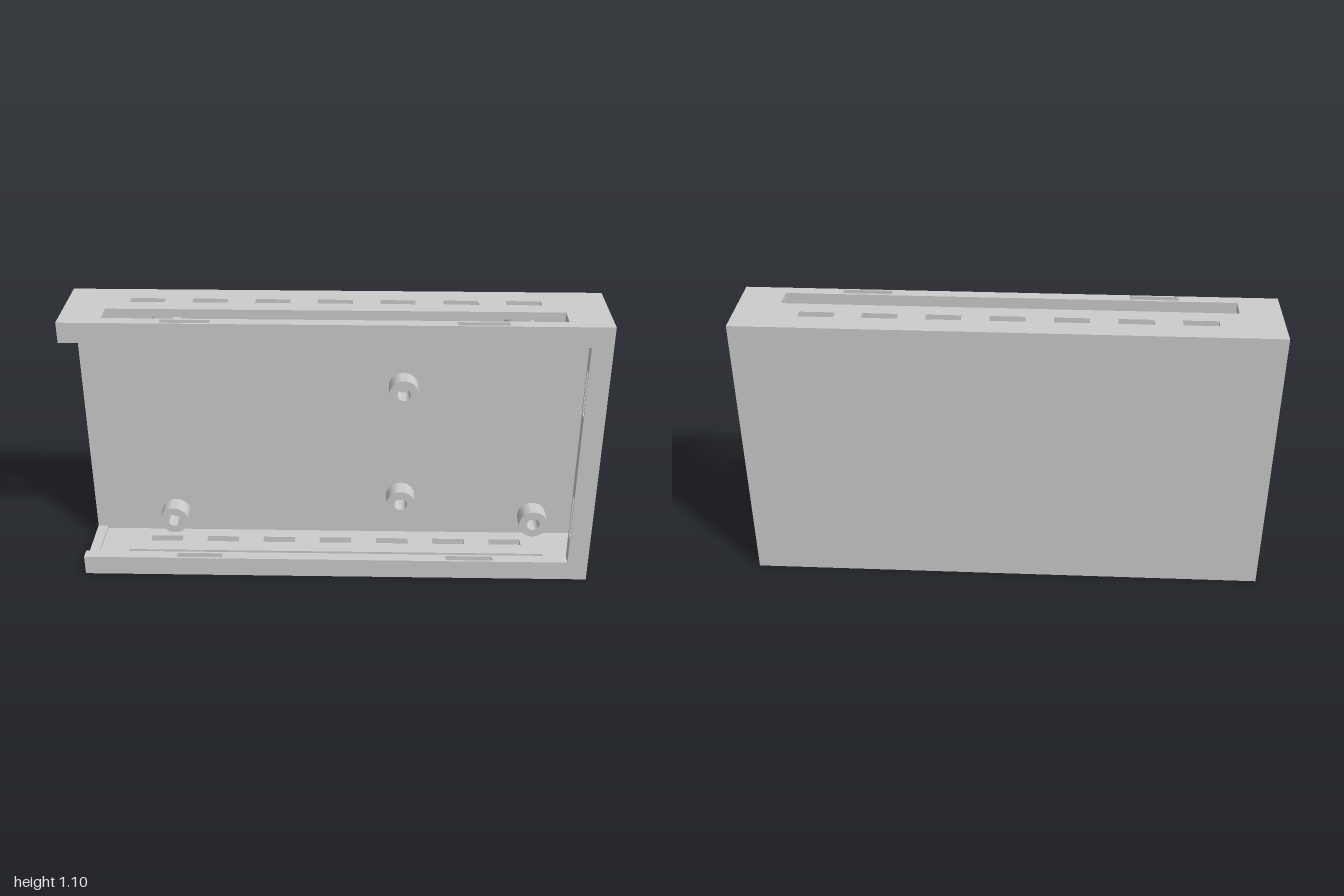
import * as THREE from 'three';
import { toCreasedNormals } from 'three/addons/utils/BufferGeometryUtils.js';

const H = 1.095, D = 0.16;          // height, half depth
const WALL = 0.03, RIM = 0.08;      // wall thickness, front rim width
const RIM_Z = 0.115, BACK_Z = -0.125;

const material = new THREE.MeshStandardMaterial({ color: 0xcccccc });
const X = new THREE.Vector3(1, 0, 0), Y = new THREE.Vector3(0, 1, 0), Z = new THREE.Vector3(0, 0, 1);

// Rectangles are [u0, u1, v0, v1]
function trace(path, [u0, u1, v0, v1]) {
  path.moveTo(u0, v0);
  path.lineTo(u1, v0);
  path.lineTo(u1, v1);
  path.lineTo(u0, v1);
  path.closePath();
  return path;
}

// Slab with rectangular holes, laid along the given axes
function slab(rect, holes, depth, uAxis, vAxis, depthAxis) {
  const shape = trace(new THREE.Shape(), rect);
  for (const h of holes) shape.holes.push(trace(new THREE.Path(), h));
  const geo = new THREE.ExtrudeGeometry(shape, { depth, bevelEnabled: false });
  return geo.applyMatrix4(new THREE.Matrix4().makeBasis(uAxis, vAxis, depthAxis));
}

export function createModel() {
  const model = new THREE.Group();
  model.name = 'openTray';

  const add = (name, geo, x = 0, y = 0, z = 0, parent = model) => {
    const mesh = new THREE.Mesh(geo, material);
    mesh.name = name;
    mesh.position.set(x, y, z);
    parent.add(mesh);
    return mesh;
  };
  const box = (name, x0, x1, y0, y1, z0, z1, parent) =>
    add(name, new THREE.BoxGeometry(x1 - x0, y1 - y0, z1 - z0),
      (x0 + x1) / 2, (y0 + y1) / 2, (z0 + z1) / 2, parent);

  // Closed back
  box('backPanel', -1, 1, 0, H, -D, BACK_Z);

  // Slots in the floor and ceiling: vents, one long opening, two clip slots
  const clips = [[-0.63, -0.45, 0.125, 0.152], [0.44, 0.625, 0.125, 0.152]];
  const holes = [[-0.845, 0.84, 0.03, RIM_Z], ...clips];
  for (let i = 0; i < 7; i++) {
    const c = -0.7 + i * 0.2325;
    holes.push([c - 0.065, c + 0.065, -0.072, -0.035]);
  }
  const down = Y.clone().negate();
  const plate = slab([-1, 1, BACK_Z, D], holes, WALL, X, Z, down);
  const lip = slab([-1, 1, RIM_Z, D], clips, RIM - WALL, X, Z, down);

  // Floor and ceiling, each with a front lip and a low ridge at the open end
  for (const top of [false, true]) {
    const group = new THREE.Group();
    group.name = top ? 'ceiling' : 'floor';
    model.add(group);
    add('slottedPlate', plate, 0, top ? H : WALL, 0, group);
    add('frontLip', lip, 0, top ? H - WALL : RIM, 0, group);
    const y0 = top ? H - 0.042 : WALL;
    box('endRidge', -1, -0.96, y0, y0 + 0.012, BACK_Z, RIM_Z, group);
  }

  // Closed end wall and its front rim, both cut by the two side clip slots
  const sideClips = [[0.19, 0.37, 0.125, 0.155], [0.73, 0.91, 0.125, 0.155]];
  add('endWall', slab([WALL, H - WALL, BACK_Z, D], sideClips, WALL, Y, Z, X), 1 - WALL);
  add('endRim', slab([RIM, H - RIM, RIM_Z, D], sideClips, RIM - WALL, Y, Z, X), 1 - RIM);

  // Round standoffs with screw holes
  const profile = [[0.058, 0], [0.058, 0.075], [0.026, 0.075], [0.026, 0.002], [0, 0.002]];
  const standoff = toCreasedNormals(
    new THREE.LatheGeometry(profile.map(([r, h]) => new THREE.Vector2(r, h)), 40), 0.6);
  standoff.rotateX(Math.PI / 2);
  const spots = [[-0.645, 0.98], [0.693, 0.98], [0.263, 0.71], [0.263, 0.21], [-0.665, 0.12], [0.807, 0.12]];
  for (const [x, y] of spots) add('standoff', standoff, x, y, BACK_Z);

  return model;
}
